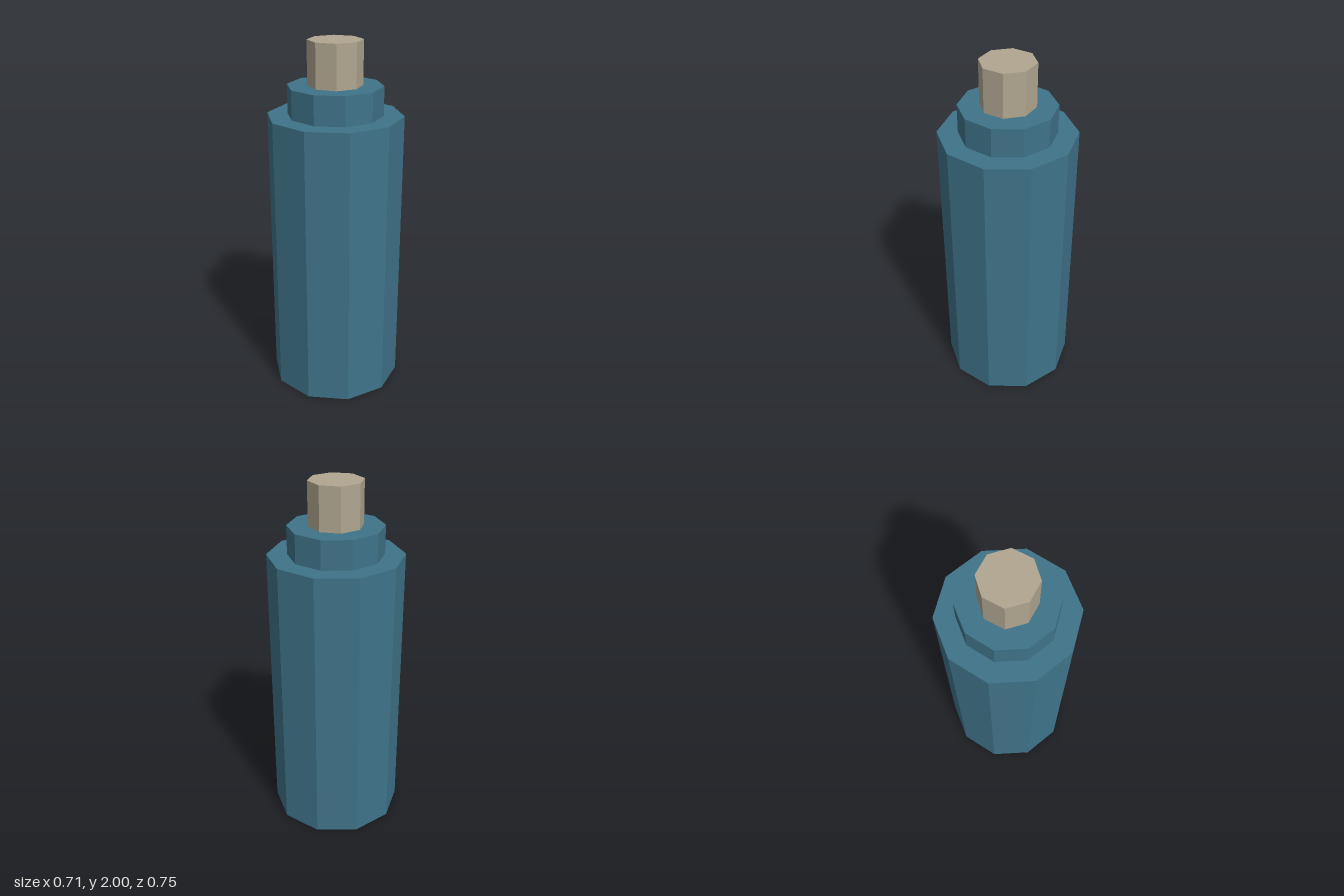
import * as THREE from 'three';

export function createModel() {
  const model = new THREE.Group();
  const blue = new THREE.MeshStandardMaterial({ color: 0x3f7389, flatShading: true });
  const beige = new THREE.MeshStandardMaterial({ color: 0xb0a690, flatShading: true });

  // Upright faceted prism from y = bottom to y = top
  function prism(name, radius, bottom, top, sides, material) {
    const geometry = new THREE.CylinderGeometry(radius, radius, top - bottom, sides);
    const mesh = new THREE.Mesh(geometry, material);
    mesh.name = name;
    mesh.position.y = (bottom + top) / 2;
    model.add(mesh);
  }

  prism('body', 0.375, 0, 1.6, 10, blue);
  prism('shoulder', 0.2625, 1.6, 1.76, 10, blue);
  prism('tip', 0.15, 1.76, 2, 8, beige);

  return model;
}
